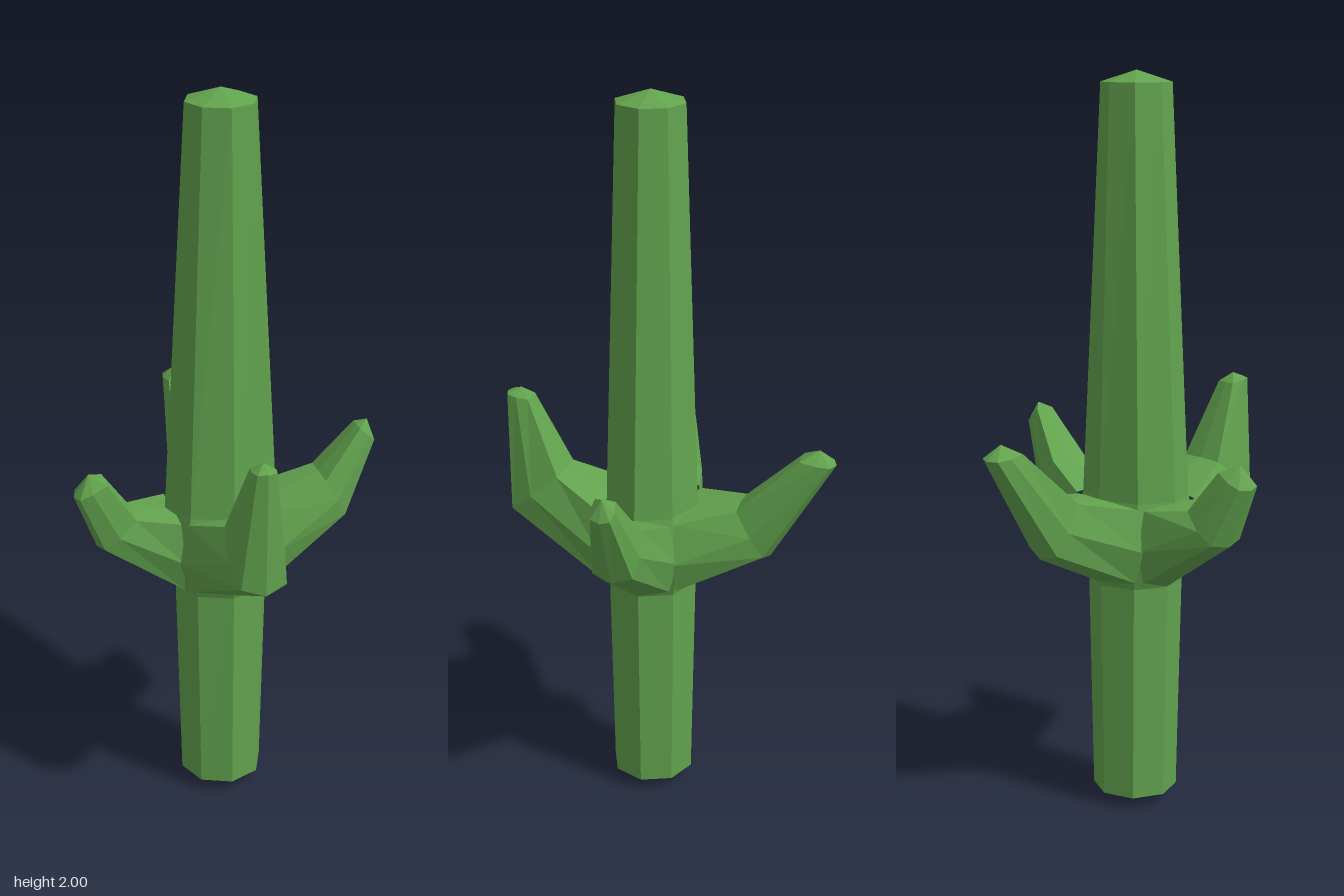
import * as THREE from 'three';

const material = new THREE.MeshStandardMaterial({ color: 0x62a34e, flatShading: true });

// Skin a list of eight-point rings; optional apex points close the ends.
function loft(name, rings, startApex, endApex) {
  const pos = [];
  const tri = (...pts) => pts.forEach((p) => pos.push(p.x, p.y, p.z));
  const n = rings[0].length;
  const last = rings[rings.length - 1];
  for (let i = 0; i < n; i++) {
    const j = (i + 1) % n;
    for (let k = 0; k < rings.length - 1; k++) {
      const a = rings[k], b = rings[k + 1];
      tri(a[i], a[j], b[j]);
      tri(a[i], b[j], b[i]);
    }
    if (startApex) tri(startApex, rings[0][j], rings[0][i]);
    if (endApex) tri(last[i], last[j], endApex);
  }
  const geometry = new THREE.BufferGeometry();
  geometry.setAttribute('position', new THREE.Float32BufferAttribute(pos, 3));
  geometry.computeVertexNormals();
  const mesh = new THREE.Mesh(geometry, material);
  mesh.name = name;
  return mesh;
}

// Horizontal octagon with its corners on the main axes.
function trunkRing([y, rx, rz]) {
  return Array.from({ length: 8 }, (_, i) => {
    const a = (i * Math.PI) / 4;
    return new THREE.Vector3(Math.cos(a) * rx, y, -Math.sin(a) * rz);
  });
}

// Arm cross-section: side factor and fraction of the way from top to bottom.
const SECTION = [[0, 0], [-0.85, 0.03], [-1, 0.5], [-0.8, 0.88], [0, 1], [0.8, 0.88], [1, 0.5], [0.85, 0.03]];

// Each ring: top [reach, y], bottom [reach, y], half width, sideways drift.
function arm(name, angle, rings, apex, drift = 0) {
  const loops = rings.map(([top, bottom, w, d = 0]) =>
    SECTION.map(([u, t]) => new THREE.Vector3(
      u * w + d,
      THREE.MathUtils.lerp(top[1], bottom[1], t),
      THREE.MathUtils.lerp(top[0], bottom[0], t),
    )));
  const mesh = loft(name, loops, null, new THREE.Vector3(drift, apex[1], apex[0]));
  mesh.rotation.y = angle;
  return mesh;
}

export function createModel() {
  const cactus = new THREE.Group();
  cactus.name = 'cactus';

  // Tall tapering trunk, swollen where the arms leave it
  const trunk = [
    [0.04, 0.115, 0.115],
    [0.645, 0.128, 0.125],
    [0.76, 0.18, 0.16],
    [0.885, 0.155, 0.13],
    [1.97, 0.093, 0.093],
  ].map(trunkRing);
  cactus.add(loft('trunk', trunk, new THREE.Vector3(0, 0.005, 0), new THREE.Vector3(0, 2, 0)));

  // Four bent arms: root, elbow, tip rim and point
  const rootZ = [[0.1, 0.88], [0.105, 0.645], 0.143];
  const rootX = [[0.135, 0.88], [0.125, 0.645], 0.11];
  cactus.add(arm('frontArm', 0, [
    rootZ,
    [[0.245, 0.94], [0.405, 0.81], 0.075],
    [[0.34, 1.14], [0.41, 1.15], 0.032],
  ], [0.37, 1.165]));
  cactus.add(arm('leftArm', Math.PI / 2, [
    rootX,
    [[0.275, 0.93], [0.345, 0.8], 0.068],
    [[0.38, 1.055], [0.43, 1.01], 0.032],
  ], [0.41, 1.068]));
  cactus.add(arm('backArm', Math.PI, [
    rootZ,
    [[0.25, 0.91], [0.335, 0.76], 0.068],
    [[0.41, 1.06], [0.505, 1.05], 0.038],
  ], [0.46, 1.087]));
  cactus.add(arm('rightArm', -Math.PI / 2, [
    rootX,
    [[0.245, 0.89], [0.345, 0.8], 0.066, 0.01],
    [[0.32, 1.0], [0.405, 0.96], 0.042, 0.026],
  ], [0.365, 1.02], 0.026));

  cactus.position.set(-0.015, 0, 0.05);
  const model = new THREE.Group();
  model.name = 'cactusModel';
  model.add(cactus);
  return model;
}
